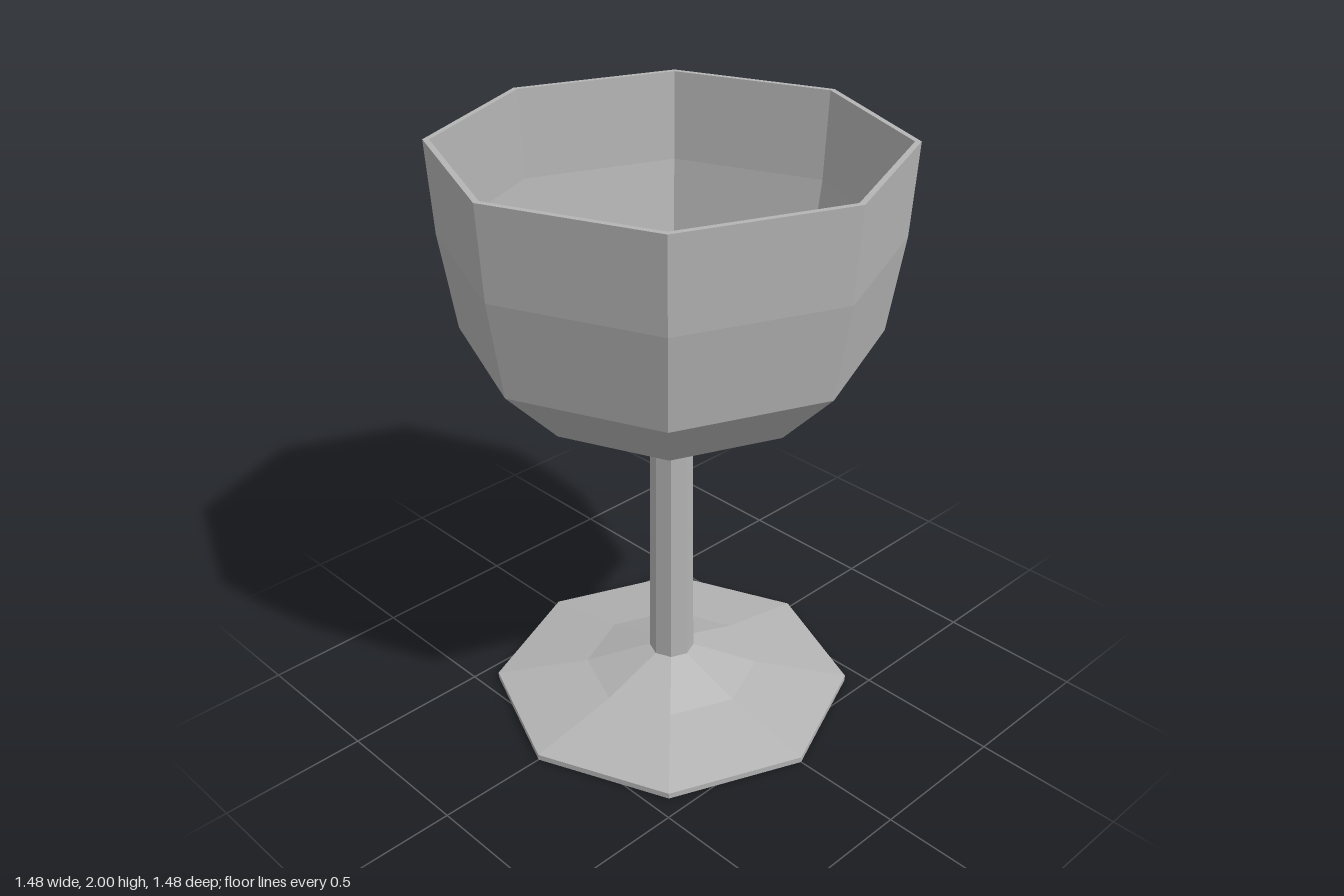
import * as THREE from 'three';

const SIDES = 8;

export function createModel() {
  const goblet = new THREE.Group();
  goblet.name = 'goblet';
  const grey = new THREE.MeshStandardMaterial({ color: 0xb4b4b4 });
  grey.name = 'grey';
  grey.flatShading = true;

  // Turn a profile of [radius, height] points into an eight-sided part
  const turn = (name, profile) => {
    const points = profile.map(([r, y]) => new THREE.Vector2(r, y));
    const mesh = new THREE.Mesh(new THREE.LatheGeometry(points, SIDES), grey);
    mesh.name = name;
    goblet.add(mesh);
  };

  // Foot: hollow underside, thin rim, sloping top
  turn('foot', [
    [0.065, 0.135], [0.295, 0.06], [0.62, 0],
    [0.62, 0.02], [0.3, 0.08], [0.077, 0.155],
  ]);

  // Stem: slightly tapered tube, outer wall then bore
  turn('stemOuter', [[0.077, 0.155], [0.069, 1.14]]);
  turn('stemBore', [[0.065, 1.16], [0.065, 0.135]]);

  // Bowl: outer wall from the recessed base to the rim, then the inside back down
  turn('bowl', [
    [0.069, 1.14], [0.195, 1.1], [0.265, 1.085], [0.48, 1.185],
    [0.67, 1.385], [0.72, 1.7], [0.738, 2],
    [0.718, 2], [0.7, 1.7], [0.652, 1.395],
    [0.462, 1.205], [0.26, 1.107], [0.19, 1.12], [0.065, 1.16],
  ]);

  return goblet;
}
